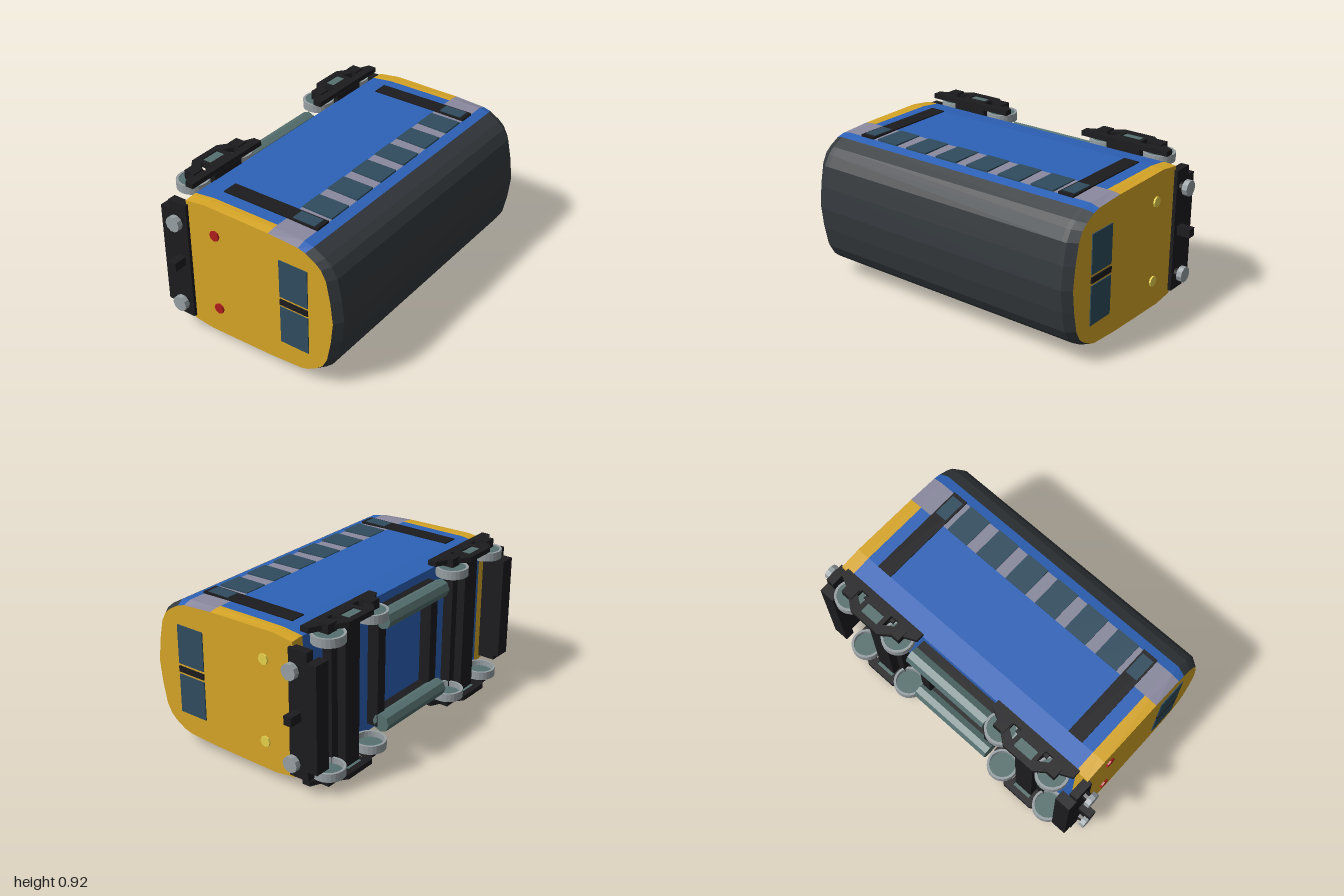
import * as THREE from 'three';

const mat = (color) => new THREE.MeshStandardMaterial({ color, flatShading: true });
const M = {
  blue: mat(0x2d62b8), yellow: mat(0xd6a526), roof: mat(0x34393d), band: mat(0x8a899f),
  glass: mat(0x2f4c5e), black: mat(0x1c1c1f), steel: mat(0x979fa3), teal: mat(0x55706f),
  lamp: mat(0xe6d24c), red: mat(0xb01c1c),
};
const SIGNS = [-1, 1];

function add(parent, name, geometry, material) {
  const mesh = new THREE.Mesh(geometry, material);
  mesh.name = name;
  parent.add(mesh);
  return mesh;
}

// box from its limits; limits may come in either order
function box(parent, name, material, x0, x1, y0, y1, z0, z1) {
  const g = new THREE.BoxGeometry(Math.abs(x1 - x0), Math.abs(y1 - y0), Math.abs(z1 - z0));
  g.translate((x0 + x1) / 2, (y0 + y1) / 2, (z0 + z1) / 2);
  return add(parent, name, g, material);
}

// cylinder lying along x between two limits
function rod(parent, name, material, r, x0, x1, y, z, sides = 8) {
  const g = new THREE.CylinderGeometry(r, r, Math.abs(x1 - x0), sides);
  g.rotateZ(Math.PI / 2).translate((x0 + x1) / 2, y, z);
  return add(parent, name, g, material);
}

// extrude an (x, z) outline through a thickness centred on y = 0
function slab(shape, depth, curveSegments = 8) {
  const g = new THREE.ExtrudeGeometry(shape, { depth, bevelEnabled: false, curveSegments });
  return g.translate(0, 0, -depth / 2).rotateX(Math.PI / 2);
}

const poly = (pts) => pts.map(([x, y]) => new THREE.Vector2(x, y));

// half cross-section: [z, half width] along the body, then at the end face
const PROFILE = [
  [-0.40, 0.39, -0.40, 0.385], [-0.27, 0.405, -0.27, 0.402], [0.15, 0.403, 0.15, 0.395],
  [0.34, 0.398, 0.34, 0.383], [0.40, 0.385, 0.385, 0.37], [0.47, 0.345, 0.445, 0.335],
  [0.51, 0.31, 0.48, 0.305], [0.545, 0.25, 0.51, 0.25], [0.57, 0.13, 0.535, 0.13],
  [0.585, 0, 0.55, 0],
];

function buildBody(parent) {
  const mirror = PROFILE.slice(0, -1).reverse().map(([z, w, ze, we]) => [z, -w, ze, -we]);
  const ring = [...PROFILE, ...mirror];
  const n = ring.length;
  const stations = [-0.9, -0.85, -0.82, 0.82, 0.85, 0.9];
  const parts = { sidePanels: [M.blue, []], cabPanels: [M.yellow, []], windowBand: [M.band, []], roof: [M.roof, []] };
  const point = (s, i) => {
    const [z, w, ze, we] = ring[i % n];
    const end = s === 0 || s === stations.length - 1;
    return [stations[s], end ? we : w, end ? ze : z];
  };
  for (let s = 0; s < stations.length - 1; s++) {
    for (let i = 0; i < n; i++) {
      const level = i === n - 1 ? 0 : Math.min(i, n - 2 - i); // last strip is the floor
      let name = 'roof';
      if (level < 2) name = s === 2 ? 'sidePanels' : 'cabPanels';
      else if (level === 2) name = 'windowBand';
      else if (level === 3) name = 'sidePanels';
      const a = point(s, i), b = point(s + 1, i), c = point(s + 1, i + 1), d = point(s, i + 1);
      parts[name][1].push(...a, ...d, ...c, ...a, ...c, ...b);
    }
  }
  for (const [name, [material, pos]] of Object.entries(parts)) {
    const g = new THREE.BufferGeometry();
    g.setAttribute('position', new THREE.Float32BufferAttribute(pos, 3));
    g.computeVertexNormals();
    add(parent, name, g, material);
  }
  // flat end faces
  for (const s of SIGNS) {
    const outline = poly(ring.map(([, , ze, we]) => [-s * ze, we]));
    const g = new THREE.ShapeGeometry(new THREE.Shape(outline));
    add(parent, 'endFace', g.rotateY(s * Math.PI / 2).translate(s * 0.9, 0, 0), M.yellow);
  }
}

function buildSide(parent, t) {
  for (let i = 0; i < 6; i++) {
    const x = -0.545 + i * 0.218;
    box(parent, 'sideWindow', M.glass, x - 0.073, x + 0.073, t * 0.38, t * 0.408, 0.15, 0.342);
  }
  for (const s of SIGNS) {
    box(parent, 'door', M.black, s * 0.65, s * 0.745, t * 0.38, t * 0.411, -0.27, 0.344);
    box(parent, 'doorWindow', M.glass, s * 0.66, s * 0.735, t * 0.39, t * 0.414, 0.18, 0.32);
  }
}

function buildEnd(parent, s) {
  box(parent, 'cabPillar', M.black, s * 0.89, s * 0.908, -0.017, 0.017, 0.215, 0.395);
  box(parent, 'bufferBeam', M.black, s * 0.87, s * 0.92, -0.363, 0.363, -0.507, -0.387);
  box(parent, 'bufferBeamFoot', M.black, s * 0.825, s * 0.92, -0.308, 0.308, -0.565, -0.507);
  box(parent, 'coupler', M.black, s * 0.91, s, -0.026, 0.026, -0.467, -0.418);
  for (const t of SIGNS) {
    box(parent, 'cabWindow', M.glass, s * 0.89, s * 0.906, t * 0.032, t * 0.26, 0.215, 0.395);
    rod(parent, 'endLamp', s > 0 ? M.lamp : M.red, 0.031, s * 0.89, s * 0.91, t * 0.237, -0.21);
    rod(parent, 'bufferShaft', M.black, 0.025, s * 0.91, s * 0.955, t * 0.261, -0.435);
    rod(parent, 'bufferHead', M.steel, 0.046, s * 0.948, s * 0.98, t * 0.261, -0.435, 10);
  }
}

function buildBogie() {
  const bogie = new THREE.Group();
  bogie.name = 'bogie';
  // arched side frame with openings
  const frame = new THREE.Shape(poly([
    [-0.283, -0.4], [-0.283, -0.45], [-0.2, -0.49], [-0.1, -0.567],
    [0.1, -0.567], [0.2, -0.49], [0.283, -0.45], [0.283, -0.4],
  ]));
  frame.holes.push(new THREE.Path(poly([[-0.06, -0.53], [0.06, -0.53], [0.06, -0.47], [-0.06, -0.47]])));
  for (const s of SIGNS) {
    frame.holes.push(new THREE.Path(poly([[s * 0.085, -0.44], [s * 0.138, -0.44], [s * 0.138, -0.475], [s * 0.085, -0.51]])));
  }
  const frameGeo = slab(frame, 0.03);

  // wheel: steel tyre round a recessed disc
  const tyre = new THREE.Shape().absarc(0, 0, 0.092, 0, Math.PI * 2);
  tyre.holes.push(new THREE.Path().absarc(0, 0, 0.078, 0, Math.PI * 2, true));
  const tyreGeo = slab(tyre, 0.05, 12);
  const discGeo = new THREE.CylinderGeometry(0.079, 0.079, 0.012, 12);

  for (const t of SIGNS) {
    add(bogie, 'sideFrame', frameGeo, M.black).position.y = t * 0.437;
    box(bogie, 'springPanel', M.teal, -0.062, 0.062, t * 0.427, t * 0.445, -0.532, -0.468);
    for (const s of SIGNS) {
      box(bogie, 'axleBox', M.black, s * 0.143, s * 0.213, t * 0.41, t * 0.462, -0.52, -0.45);
      add(bogie, 'wheelTyre', tyreGeo, M.steel).position.set(s * 0.178, t * 0.382, -0.494);
      add(bogie, 'wheelDisc', discGeo, M.teal).position.set(s * 0.178, t * 0.397, -0.494);
    }
  }
  // crosswise bolster joining the side frames
  box(bogie, 'bolster', M.black, -0.11, 0.11, -0.425, 0.425, -0.46, -0.398);
  box(bogie, 'bolsterBeam', M.black, -0.06, 0.06, -0.425, 0.425, -0.51, -0.45);
  return bogie;
}

function buildUnderframe(parent) {
  for (const s of SIGNS) {
    box(parent, 'crossBar', M.black, s * 0.215, s * 0.28, -0.34, 0.34, -0.47, -0.398);
    box(parent, 'sillBar', M.black, -0.28, 0.28, s * 0.27, s * 0.34, -0.46, -0.398);
    rod(parent, 'tank', M.teal, 0.053, -0.28, 0.28, s * 0.308, -0.492);
  }
}

export function createModel() {
  const model = new THREE.Group();
  model.name = 'railcar';
  // the car lies on its side: roof towards +z, wheels towards -z
  const car = new THREE.Group();
  car.name = 'car';
  car.position.y = 0.463;
  model.add(car);

  buildBody(car);
  buildUnderframe(car);
  for (const s of SIGNS) {
    buildSide(car, s);
    buildEnd(car, s);
    const bogie = buildBogie();
    bogie.position.x = s * 0.557;
    car.add(bogie);
  }
  return model;
}
